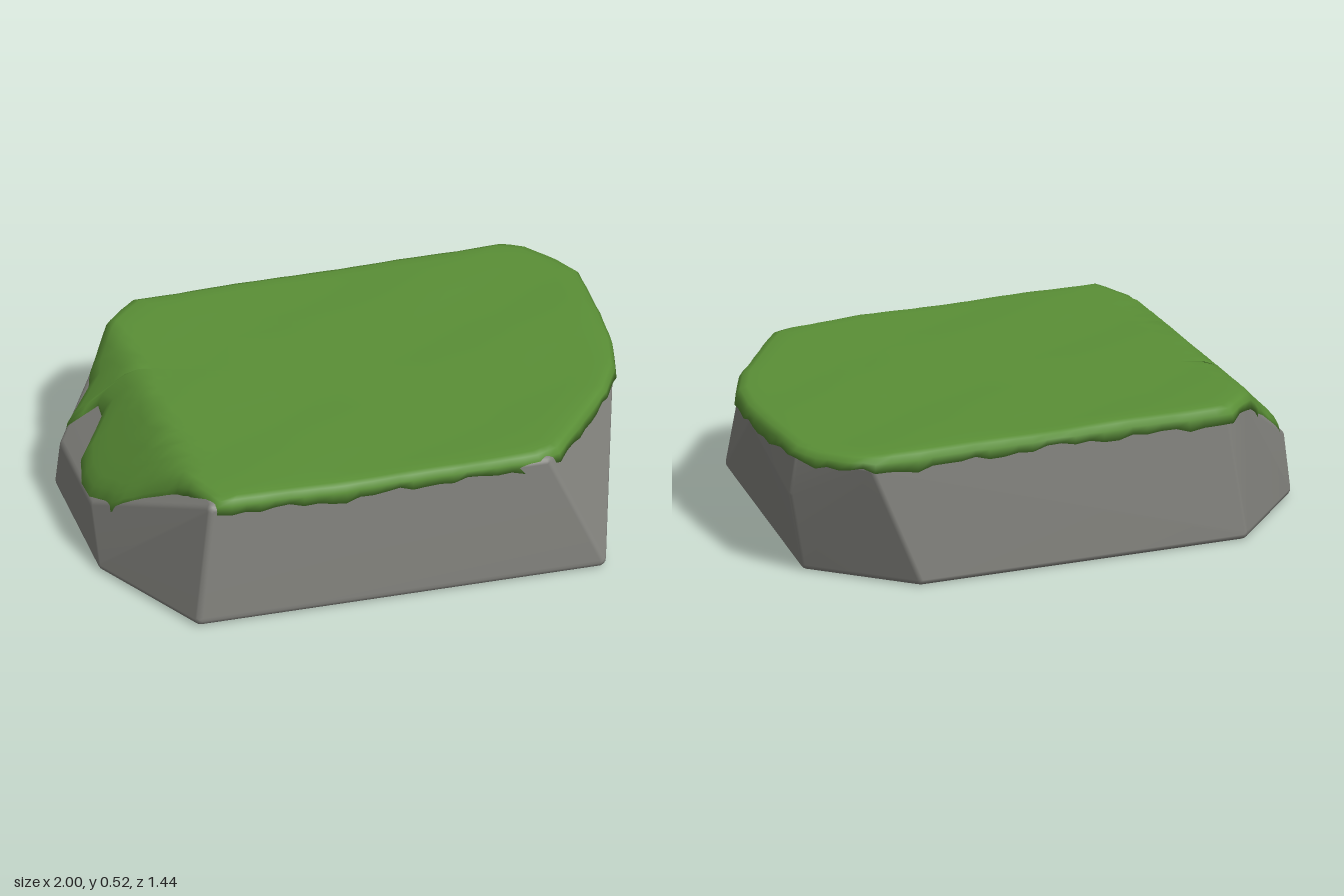
import * as THREE from 'three';
import { ConvexGeometry } from 'three/addons/geometries/ConvexGeometry.js';
import { mergeVertices } from 'three/addons/utils/BufferGeometryUtils.js';

const stoneMat = new THREE.MeshStandardMaterial({ color: 0x84847f });
stoneMat.name = 'grey stone';
const grassMat = new THREE.MeshStandardMaterial({ color: 0x5a8f36 });
grassMat.name = 'grass green';

// Corners of the rock: [x, y, z]
const corners = [
  // foot
  [-0.76, 0, 0.71], [0.77, 0, 0.71], [0.93, 0, -0.4], [0.61, 0, -0.72],
  [-0.68, 0, -0.72], [-1, 0, -0.35], [-1, 0, 0.25],
  // low shoulder on the sloping side
  [-1, 0.21, 0.14], [-1, 0.21, -0.29],
  // bulge on the other side
  [0.995, 0.32, -0.44],
  // upper rim
  [-0.71, 0.5, 0.7], [0.57, 0.5, 0.705], [0.94, 0.5, 0.18], [0.99, 0.5, -0.05],
  [0.99, 0.5, -0.48], [0.8, 0.5, -0.72], [-0.61, 0.5, -0.715], [-0.71, 0.5, -0.63],
];

// Rounded rock: hull of small balls set just inside each corner
function buildStone() {
  const r = 0.03;
  const ball = new THREE.IcosahedronGeometry(r, 2).attributes.position;
  const points = [];
  for (const [x, y, z] of corners) {
    const centre = new THREE.Vector3(x * (1 - r), THREE.MathUtils.clamp(y, r, 0.5 - r), z * (1 - r / 0.72));
    for (let i = 0; i < ball.count; i++) {
      points.push(new THREE.Vector3().fromBufferAttribute(ball, i).add(centre));
    }
  }
  const hull = new ConvexGeometry(points);
  hull.deleteAttribute('normal');
  const geo = mergeVertices(hull, 1e-5);
  geo.computeVertexNormals(); // area weighting keeps the broad faces flat
  return geo;
}

// Edge of the turf seen from above: [x, z]
const turfEdge = [
  [-0.62, -0.715], [0.78, -0.725], [0.86, -0.68], [0.95, -0.57], [0.995, -0.48],
  [1, -0.2], [0.99, 0], [0.955, 0.17], [0.88, 0.32], [0.72, 0.53], [0.61, 0.67],
  [0.53, 0.7], [0.25, 0.715], [0, 0.71], [-0.25, 0.715], [-0.68, 0.7], [-0.72, 0.6],
  [-0.77, 0.48], [-0.86, 0.35], [-0.95, 0.24], [-0.96, 0.19], [-0.995, 0.1],
  [-0.995, 0], [-0.97, -0.1], [-0.86, -0.21], [-0.855, -0.285], [-0.96, -0.33],
  [-0.86, -0.4], [-0.84, -0.46], [-0.74, -0.6],
];

// Height of the turf: level top, falling away down the sloping side
function turfHeight(x, z) {
  const level = 0.52 + 0.003 * Math.sin(9 * x + 4 * z) * Math.sin(7 * z - 3 * x);
  return Math.min(level, 0.255 + (x + 1) * 1.0);
}

function buildTurf() {
  // Short steps along the edge
  const edge = [];
  turfEdge.forEach(([x, z], i) => {
    const [nx, nz] = turfEdge[(i + 1) % turfEdge.length];
    const steps = Math.max(1, Math.round(Math.hypot(nx - x, nz - z) / 0.055));
    for (let s = 0; s < steps; s++) {
      const k = s / steps;
      edge.push([x + (nx - x) * k, z + (nz - z) * k]);
    }
  });
  const n = edge.length;

  // Rings from the middle to the hem, then tucked under: [scale, drop, raggedness]
  const rings = [
    [0.3, 0, 0], [0.5, 0, 0], [0.62, 0, 0], [0.68, 0, 0], [0.73, 0, 0], [0.78, 0, 0],
    [0.84, 0, 0], [0.9, 0, 0], [0.955, 0.001, 0], [0.982, 0.008, 0.1],
    [0.998, 0.027, 0.3], [1.003, 0.058, 1], [0.95, 0.058, 1],
  ];
  const pos = [0, turfHeight(0, 0), 0];
  const index = [];
  rings.forEach(([scale, drop, ragged], j) => {
    edge.forEach(([ex, ez], i) => {
      const x = ex * scale, z = ez * scale;
      const wave = 0.008 * Math.sin(i * 0.9) + 0.007 * Math.sin(i * 2.3 + 1) + 0.005 * Math.sin(i * 0.37);
      pos.push(THREE.MathUtils.clamp(x, -1, 1), turfHeight(x, z) - drop - ragged * wave, z);
      const next = (i + 1) % n;
      const c = 1 + j * n + i, d = 1 + j * n + next;
      if (j === 0) index.push(0, d, c);
      else index.push(c - n, d - n, d, c - n, d, c);
    });
  });
  const geo = new THREE.BufferGeometry();
  geo.setAttribute('position', new THREE.Float32BufferAttribute(pos, 3));
  geo.setIndex(index);
  geo.computeVertexNormals();
  return geo;
}

export function createModel() {
  const group = new THREE.Group();
  group.name = 'grassyRock';
  const stone = new THREE.Mesh(buildStone(), stoneMat);
  stone.name = 'stone';
  const turf = new THREE.Mesh(buildTurf(), grassMat);
  turf.name = 'grassTop';
  group.add(stone, turf);
  return group;
}
